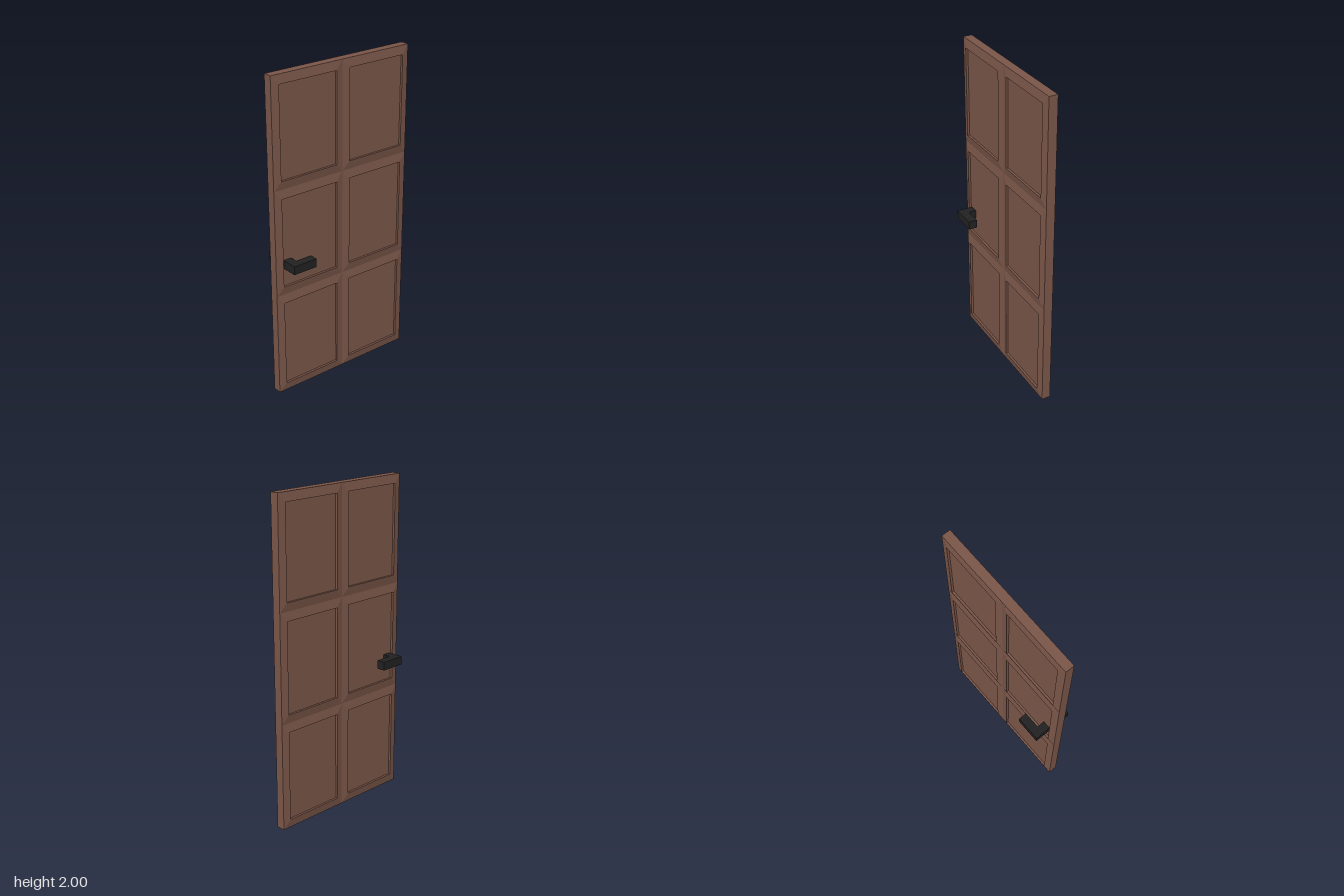
import * as THREE from 'three';

const W = 0.97, H = 2, COLS = 2, ROWS = 3;
const EDGE = 0.0275, RIM = 0.037, PANEL = 0.023; // half depths
const INX = 0.047, INY = 0.054;                  // bevel widths

// Rectangular loop of four corners, anticlockwise seen from the front
const loop = (x0, x1, y0, y1, z) => [[x0, y0, z], [x1, y0, z], [x1, y1, z], [x0, y1, z]];

function quad(out, a, b, c, d) {
  out.push(...a, ...b, ...c, ...a, ...c, ...d);
}

// Band of four quads joining two loops
function band(out, a, b) {
  for (let i = 0; i < 4; i++) {
    const j = (i + 1) % 4;
    quad(out, a[i], a[j], b[j], b[i]);
  }
}

function surface(points) {
  const g = new THREE.BufferGeometry();
  g.setAttribute('position', new THREE.Float32BufferAttribute(points, 3));
  g.computeVertexNormals();
  return g;
}

export function createModel() {
  const door = new THREE.Group();
  door.name = 'door';
  const wood = new THREE.MeshStandardMaterial({ color: 0x795548, flatShading: true });
  const black = new THREE.MeshStandardMaterial({ color: 0x212121, flatShading: true });

  const add = (parent, name, geometry, material) => {
    const m = new THREE.Mesh(geometry, material);
    m.name = name;
    parent.add(m);
    return m;
  };

  // One face: each cell has a bevel rising to a sharp rim, then a sunken panel
  const face = [];
  const cw = W / COLS, ch = H / ROWS;
  for (let c = 0; c < COLS; c++) {
    for (let r = 0; r < ROWS; r++) {
      const x0 = -W / 2 + c * cw, x1 = x0 + cw, y0 = r * ch, y1 = y0 + ch;
      const inner = z => loop(x0 + INX, x1 - INX, y0 + INY, y1 - INY, z);
      band(face, loop(x0, x1, y0, y1, EDGE), inner(RIM));
      band(face, inner(RIM), inner(PANEL));
      quad(face, ...inner(PANEL));
    }
  }
  const faceGeometry = surface(face);
  add(door, 'frontPanels', faceGeometry, wood);
  add(door, 'backPanels', faceGeometry, wood).rotation.y = Math.PI;

  // Outer edge of the slab
  const rim = [];
  band(rim, loop(-W / 2, W / 2, 0, H, -EDGE), loop(-W / 2, W / 2, 0, H, EDGE));
  add(door, 'doorEdge', surface(rim), wood);

  // L-shaped lever on each side, mirrored by flipping z
  const T = 0.053, X0 = -0.427, X1 = -0.267, Y0 = 0.835;
  for (const side of [1, -1]) {
    const shape = new THREE.Shape([
      [X0, 0.01], [X0 + T, 0.01], [X0 + T, 0.071], [X1, 0.071], [X1, 0.1245], [X0, 0.1245],
    ].map(([x, z]) => new THREE.Vector2(x, -z * side)));
    const g = new THREE.ExtrudeGeometry(shape, { depth: T, bevelEnabled: false });
    g.rotateX(-Math.PI / 2).translate(0, Y0, 0);
    add(door, side > 0 ? 'frontHandle' : 'backHandle', g, black);
  }
  return door;
}
